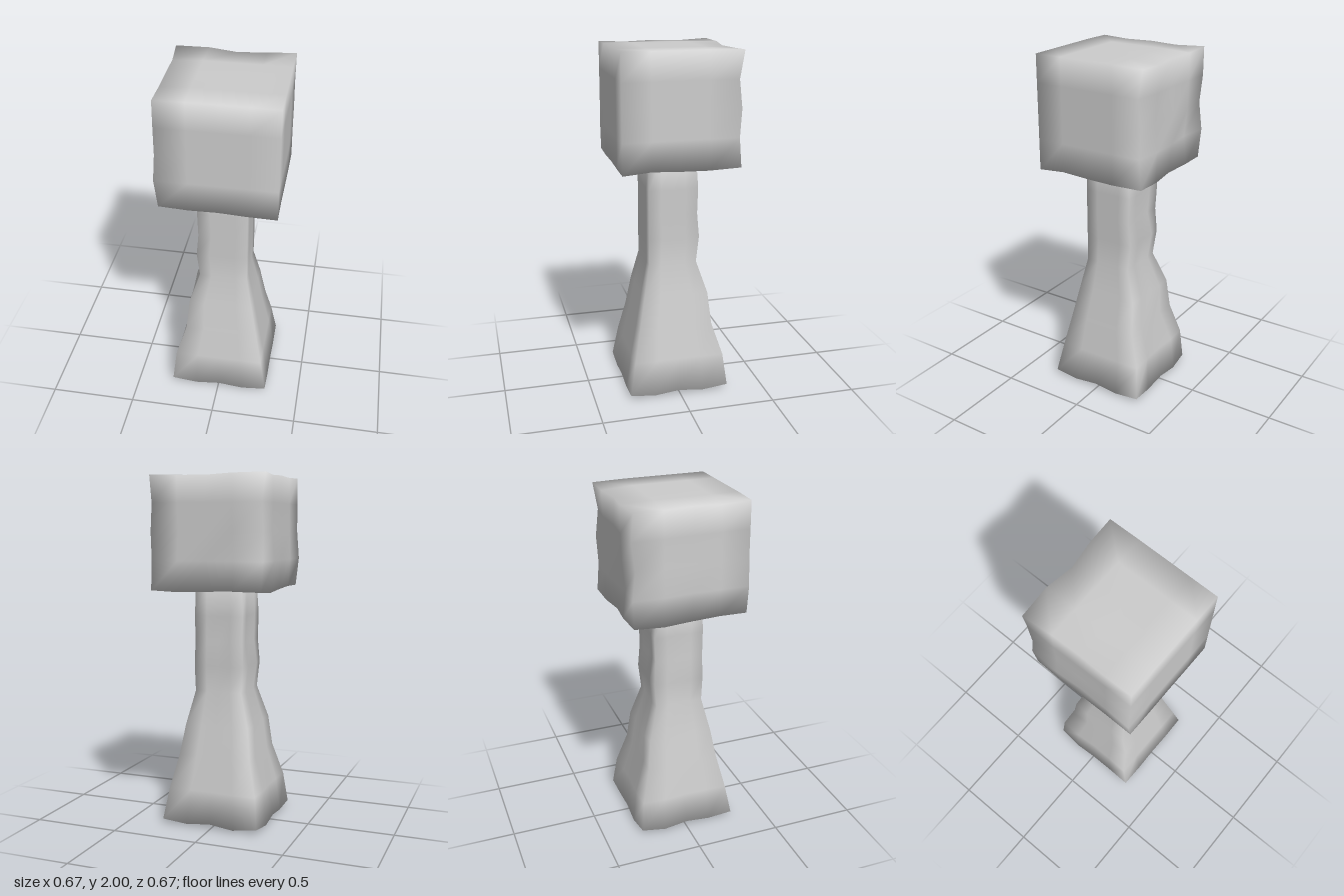
import * as THREE from 'three';
import { mergeVertices } from 'three/addons/utils/BufferGeometryUtils.js';

// Repeatable 0..1 value for a lattice point
function noise(i, j, k) {
  const s = Math.sin(i * 12.99 + j * 78.23 + k * 37.72) * 43758.55;
  return s - Math.floor(s);
}

// Welded, smooth-shaded unit box whose lattice points are moved by a rule
function softBox(nx, ny, nz, rule) {
  const box = new THREE.BoxGeometry(1, 1, 1, nx, ny, nz);
  box.deleteAttribute('normal');
  box.deleteAttribute('uv');
  box.clearGroups();
  const geo = mergeVertices(box);
  const p = geo.attributes.position;
  for (let n = 0; n < p.count; n++) {
    const i = Math.round((p.getX(n) + 0.5) * nx);
    const j = Math.round((p.getY(n) + 0.5) * ny);
    const k = Math.round((p.getZ(n) + 0.5) * nz);
    p.setXYZ(n, ...rule(i, j, k));
  }
  geo.computeVertexNormals();
  return geo;
}

export function createModel() {
  const group = new THREE.Group();
  const stone = new THREE.MeshStandardMaterial({ color: 0xcccccc });
  stone.name = 'paleStone';
  const add = (name, geo) => {
    const mesh = new THREE.Mesh(geo, stone);
    mesh.name = name;
    group.add(mesh);
  };

  // Cubic head: clean front, right and top, wavy left, back and underside
  const wave = [0.01, 0.022, 0, 0.022, 0.026];
  const side = [0.002, 0.022, 0.01, 0.012, 0.008];
  add('head', softBox(4, 4, 4, (i, j, k) => {
    let x = -0.308 + 0.641 * i / 4;
    let y = 1.37 + 0.63 * j / 4;
    let z = -0.307 + 0.64 * k / 4;
    if (i === 0) x -= k === 0 && j === 4 ? 0.025 : side[j] * (0.5 + 0.6 * noise(i, j, k));
    if (k === 0) z -= j === 4 ? wave[i] : wave[(i + j) % 5] * 0.8;
    if (j === 0) y -= 0.02 * noise(i, 3, k);
    if (j === 4 && (k === 0 || i === 0)) y -= 0.012 * noise(i, 5, k);
    return [x, y, z];
  }));

  // Square post, flared towards the foot: [height, clean side, wavy side]
  const rows = [
    [0.03, 0.295, 0.28], [0.21, 0.26, 0.262], [0.40, 0.222, 0.205],
    [0.58, 0.187, 0.193], [0.77, 0.15, 0.13], [0.92, 0.149, 0.147],
    [1.06, 0.149, 0.13], [1.21, 0.149, 0.138], [1.38, 0.149, 0.13],
  ];
  add('post', softBox(4, 8, 4, (i, j, k) => {
    const [h, clean, wavy] = rows[j];
    let x = -wavy + (clean + wavy) * i / 4;
    let y = h;
    let z = -wavy + (clean + wavy) * k / 4;
    if (i === 0) x -= 0.012 * (noise(i, j, k) - 0.4);
    if (k === 0) z -= 0.012 * (noise(k, j, i) - 0.4);
    // Scalloped underside
    if (j === 0) y -= i % 2 || k % 2 ? 0.02 : 0.004;
    if (j === 0 && i === 1 && k === 1) y = 0;
    return [x, y, z];
  }));

  return group;
}
